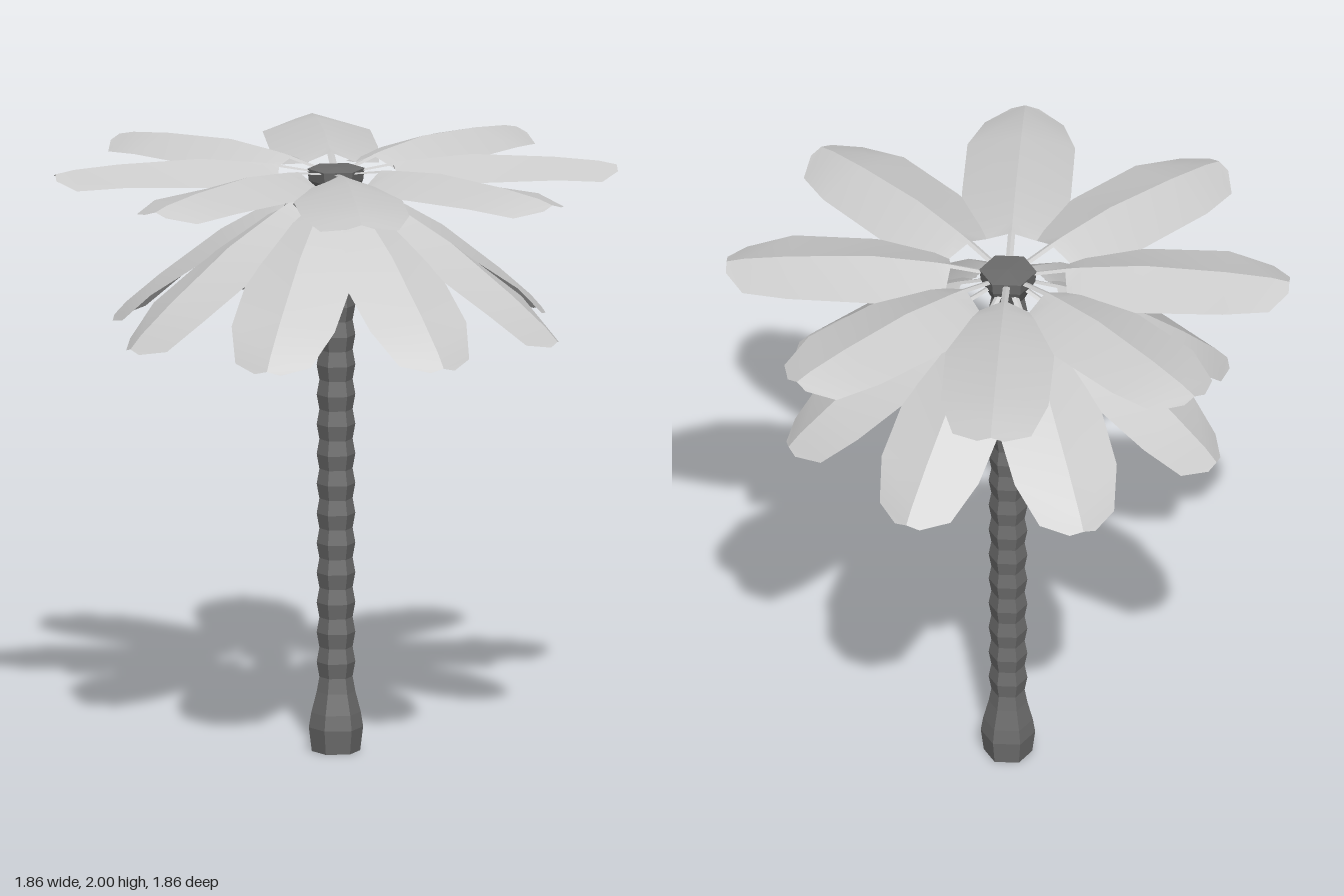
import * as THREE from 'three';

const leafMat = new THREE.MeshStandardMaterial({ color: 0xcccccc, side: THREE.DoubleSide });
const trunkMat = new THREE.MeshStandardMaterial({ color: 0x6c6c6c, flatShading: true });

// Frond stations along +z: [z, ridge height, half width, edge height], relative to the crown pivot
const STATIONS = [
  [0.05, 0.0, 0.012, -0.004],
  [0.19, 0.026, 0.012, 0.02],
  [0.2, 0.028, 0.085, -0.012],
  [0.25, 0.034, 0.165, -0.025],
  [0.45, 0.05, 0.18, -0.012],
  [0.72, 0.036, 0.178, -0.008],
  [0.87, 0.02, 0.13, -0.026],
  [0.93, 0.006, 0.045, -0.008],
];

// Two smooth halves meeting at a sharp central ridge
function frondGeometry() {
  const pos = [], index = [];
  for (const s of [1, -1]) {
    const base = pos.length / 3;
    for (const [z, ridge, w, edge] of STATIONS) pos.push(0, ridge, z, s * w, edge, z);
    for (let i = 0; i < STATIONS.length - 1; i++) {
      const a = base + 2 * i, b = a + 1, c = a + 2, d = a + 3;
      if (s > 0) index.push(a, c, b, b, c, d);
      else index.push(a, b, c, b, d, c);
    }
  }
  const g = new THREE.BufferGeometry();
  g.setAttribute('position', new THREE.Float32BufferAttribute(pos, 3));
  g.setIndex(index);
  g.computeVertexNormals();
  return g;
}

// Ring of eight fronds, drooping by pitch
function frondRing(name, geometry, pitch, offset) {
  const ring = new THREE.Group();
  ring.name = name;
  ring.position.y = 1.95;
  for (let i = 0; i < 8; i++) {
    const frond = new THREE.Mesh(geometry, leafMat);
    frond.name = 'frond';
    frond.rotation.set(pitch, offset + (i * Math.PI) / 4, 0, 'YXZ');
    ring.add(frond);
  }
  return ring;
}

export function createModel() {
  const palm = new THREE.Group();
  palm.name = 'palmTree';

  // Six-sided trunk: swollen foot, scalloped rings, flared head
  const profile = [[0, 0], [0.08, 0], [0.09, 0.08], [0.082, 0.13], [0.064, 0.2]];
  for (let y = 0.25; y < 1.8; y += 0.1) profile.push([0.055, y], [0.064, y + 0.05]);
  profile.push([0.055, 1.85], [0.09, 1.92], [0.095, 1.96], [0, 1.965]);
  const trunkGeo = new THREE.LatheGeometry(
    profile.map(([r, y]) => new THREE.Vector2(r, y)), 6, Math.PI / 2);
  const trunk = new THREE.Mesh(trunkGeo, trunkMat);
  trunk.name = 'trunk';
  palm.add(trunk);

  // Crown: level upper fronds and drooping lower fronds in the gaps
  const frond = frondGeometry();
  palm.add(frondRing('upperFronds', frond, 0, 0));
  palm.add(frondRing('lowerFronds', frond, 0.61, Math.PI / 8));
  return palm;
}
